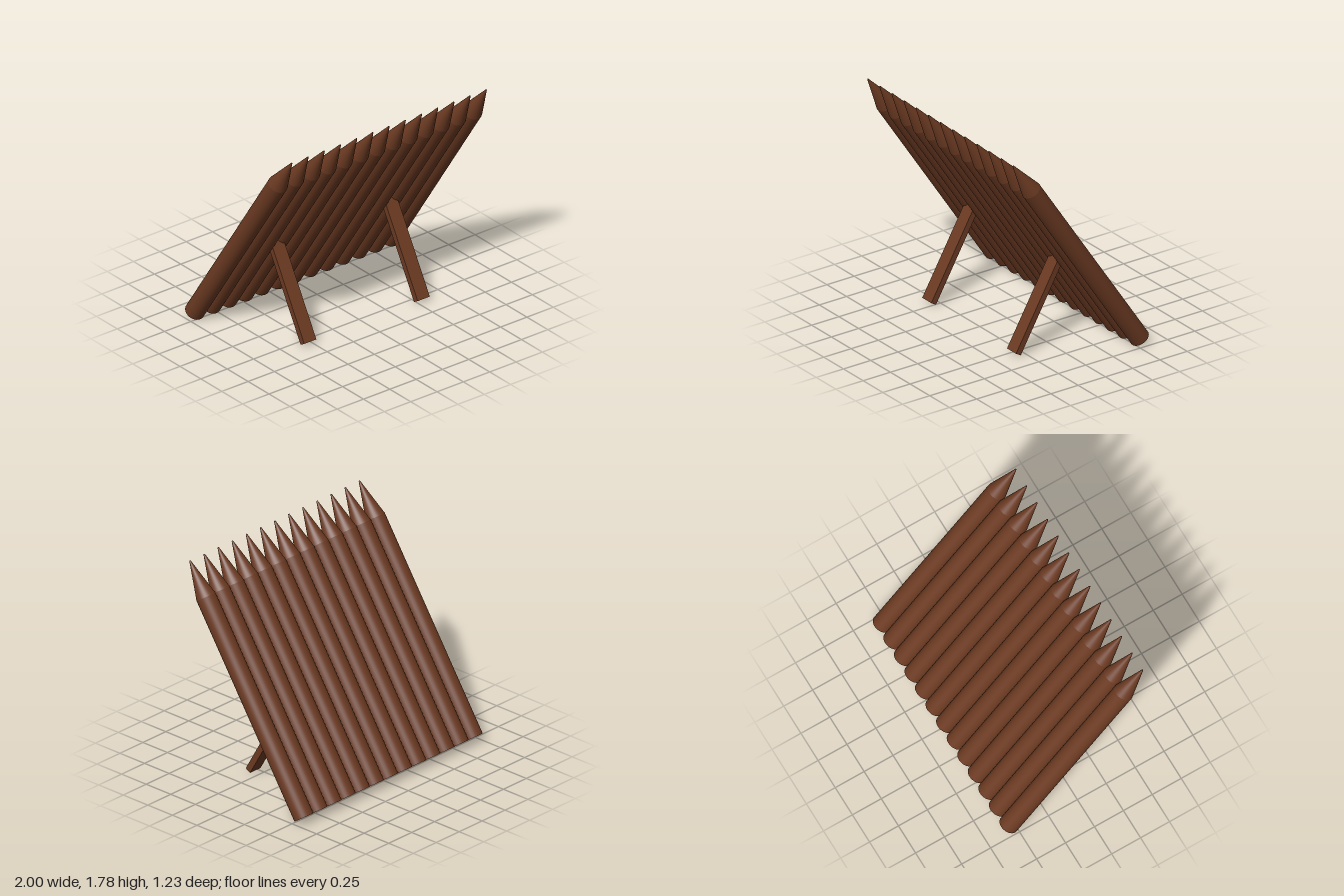
import * as THREE from 'three';

const LOGS = 13;
const RADIUS = 1 / LOGS;
const LEAN = 0.588; // forward tilt of the wall
const SHAFT = 1.795;
const POINT = 0.295;

export function createModel() {
  const model = new THREE.Group();
  model.name = 'leaningPalisade';
  const wood = new THREE.MeshStandardMaterial({ color: 0x6b3a22 });

  // Shared log parts: round shaft and sharpened point, both starting at y = 0
  const shaftGeometry = new THREE.CylinderGeometry(RADIUS, RADIUS, SHAFT, 32);
  shaftGeometry.translate(0, SHAFT / 2, 0);
  const pointGeometry = new THREE.CylinderGeometry(0.005, RADIUS, POINT, 32, 1);
  pointGeometry.translate(0, SHAFT + POINT / 2, 0);

  // Row of touching sharpened logs, leaning forward
  const wall = new THREE.Group();
  wall.name = 'logWall';
  wall.position.set(0, RADIUS * Math.sin(LEAN), -0.549);
  wall.rotation.x = LEAN;
  for (let i = 0; i < LOGS; i++) {
    const log = new THREE.Group();
    log.name = `log${i + 1}`;
    log.position.x = (i - (LOGS - 1) / 2) * 2 * RADIUS;
    const shaft = new THREE.Mesh(shaftGeometry, wood);
    shaft.name = 'shaft';
    const point = new THREE.Mesh(pointGeometry, wood);
    point.name = 'sharpenedPoint';
    log.add(shaft, point);
    wall.add(log);
  }
  model.add(wall);

  // Two plank props wedged into the gaps between logs
  const propLength = 0.81;
  const propGeometry = new THREE.BoxGeometry(0.115, propLength, 0.05);
  propGeometry.translate(0, propLength / 2, 0);
  for (const side of [-1, 1]) {
    const prop = new THREE.Mesh(propGeometry, wood);
    prop.name = side > 0 ? 'leftProp' : 'rightProp';
    prop.position.set(side * 7 * RADIUS, 0.021, 0.326);
    prop.rotation.x = -Math.PI / 6;
    model.add(prop);
  }

  return model;
}
